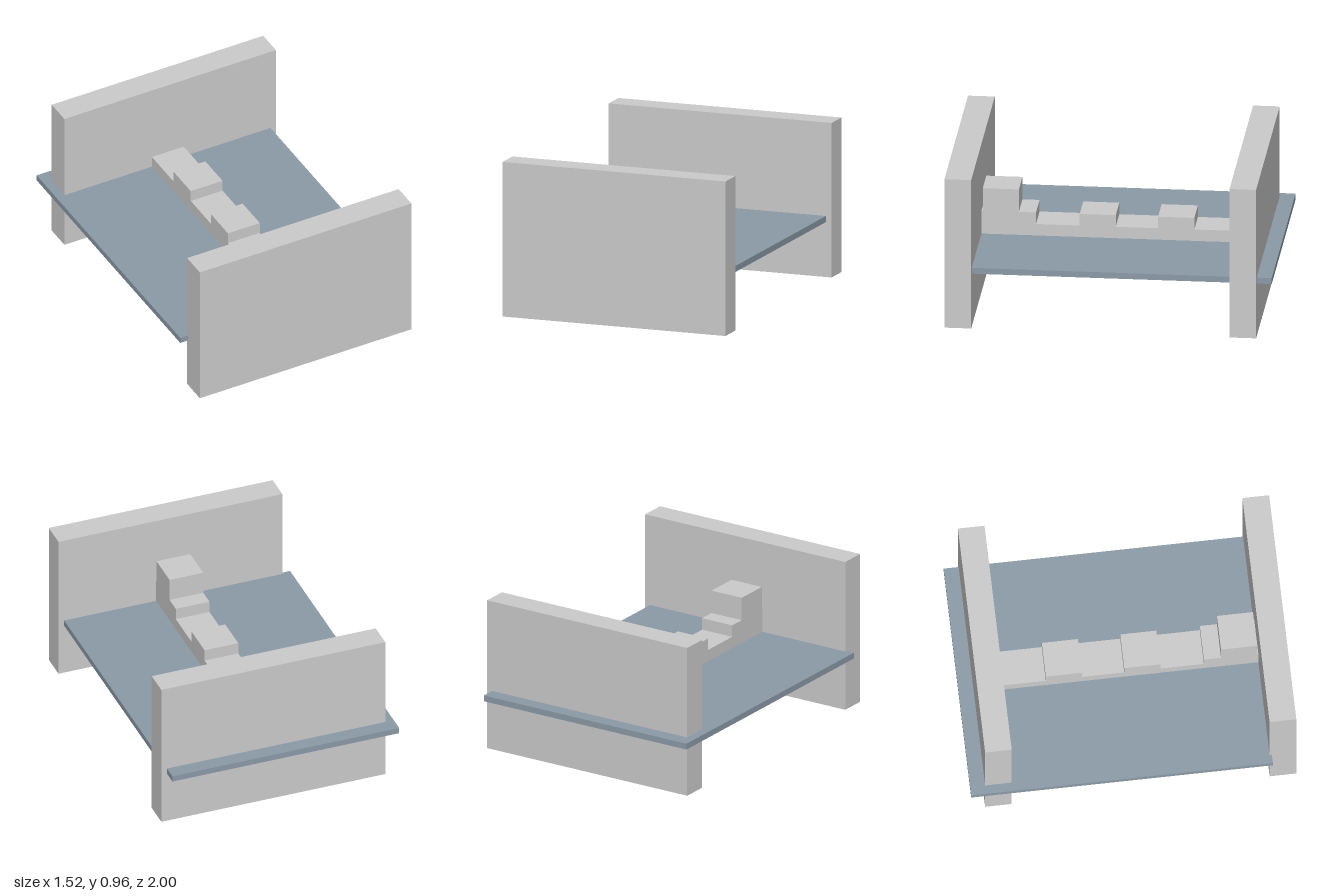
import * as THREE from 'three';

export function createModel() {
  const model = new THREE.Group();
  const grey = new THREE.MeshStandardMaterial({ color: 0xcccccc });
  const slate = new THREE.MeshStandardMaterial({ color: 0x8c9ba8 });

  // Box given by its min and max on each axis
  function box(name, [x0, x1], [y0, y1], [z0, z1], material) {
    const mesh = new THREE.Mesh(new THREE.BoxGeometry(x1 - x0, y1 - y0, z1 - z0), material);
    mesh.position.set((x0 + x1) / 2, (y0 + y1) / 2, (z0 + z1) / 2);
    mesh.name = name;
    model.add(mesh);
  }

  // Upright end walls
  box('frontWall', [-0.705, 0.757], [0, 0.965], [0.836, 1], grey);
  box('backWall', [-0.705, 0.757], [0, 0.965], [-0.908, -0.745], grey);

  // Thin deck passing through both walls
  box('deck', [-0.76, 0.72], [0.343, 0.381], [-1, 0.85], slate);

  // Stepped spine along the deck: side profile as (z, y) corners
  const low = 0.455, mid = 0.53, high = 0.676;
  const profile = [
    [-0.745, 0.381], [0.838, 0.381], [0.838, mid], [0.828, mid], [0.828, high],
    [0.607, high], [0.607, mid], [0.502, mid], [0.502, low],
    [0.235, low], [0.235, mid], [0.014, mid], [0.014, low],
    [-0.245, low], [-0.245, mid], [-0.467, mid], [-0.467, low], [-0.745, low],
  ];
  const shape = new THREE.Shape(profile.map(([z, y]) => new THREE.Vector2(z, y)));
  const spine = new THREE.Mesh(
    new THREE.ExtrudeGeometry(shape, { depth: 0.22, bevelEnabled: false }), grey);
  spine.rotation.y = -Math.PI / 2;
  spine.position.x = 0.12;
  spine.name = 'steppedSpine';
  model.add(spine);

  return model;
}
